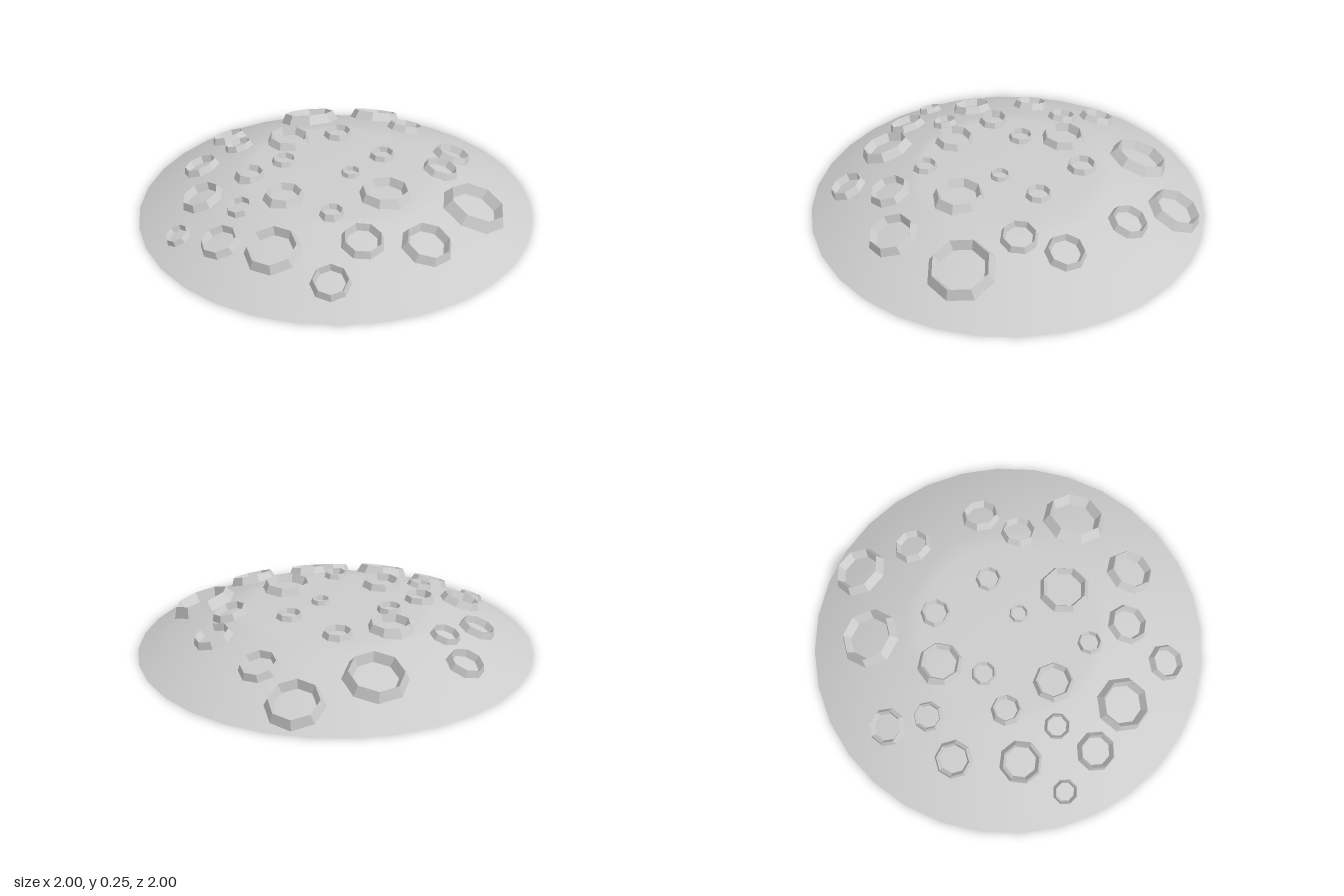
import * as THREE from 'three';
import { toCreasedNormals } from 'three/addons/utils/BufferGeometryUtils.js';

const BASE = 0.02, RISE = 0.25;
const SPHERE = (1 + RISE * RISE) / (2 * RISE);
const PLATE_Y = 0.228, PLATE_R = 0.47;

// height of the dome shell at a distance r from the axis
const domeY = (r) => BASE + Math.sqrt(SPHERE * SPHERE - r * r) - SPHERE + RISE;

// x, z, radius of each crater
const CRATERS = [
  [-0.25, -0.81, 0.145], [0.02, -0.68, 0.105], [0.38, -0.53, 0.105], [-0.49, -0.50, 0.16],
  [-0.19, -0.32, 0.08], [0.125, -0.245, 0.07], [0.43, -0.31, 0.098], [0.70, -0.16, 0.172],
  [-0.37, -0.12, 0.118], [0.085, -0.005, 0.052], [0.335, 0.08, 0.135], [-0.265, 0.075, 0.067],
  [-0.765, -0.12, 0.10], [-0.60, 0.01, 0.08], [-0.67, 0.24, 0.10], [-0.33, 0.28, 0.08],
  [-0.07, 0.36, 0.107], [0.205, 0.36, 0.065], [0.66, 0.25, 0.13], [0.42, 0.43, 0.11],
  [-0.465, 0.495, 0.112], [-0.22, 0.515, 0.07], [-0.42, 0.745, 0.067], [-0.175, 0.73, 0.104],
  [0.09, 0.68, 0.142], [0.415, 0.695, 0.10],
];

function createCrater(x, z, radius, i, material) {
  // sloping outer skirt, sharp rim, inner wall
  const rim = 0.012 + radius * 0.2;
  const profile = [
    new THREE.Vector2(radius, -0.012),
    new THREE.Vector2(radius * 0.82, rim),
    new THREE.Vector2(radius * 0.66, -0.008),
  ];
  const geometry = toCreasedNormals(new THREE.LatheGeometry(profile, 8), 0.6);
  const mesh = new THREE.Mesh(geometry, material);
  mesh.name = 'crater' + (i + 1);

  // seat on the plate or tilt to the dome's slope
  const r = Math.hypot(x, z);
  const normal = new THREE.Vector3(0, 1, 0);
  if (r > PLATE_R) normal.set(x, SPHERE - RISE + domeY(r) - BASE, z).normalize();
  mesh.position.set(x, r > PLATE_R ? domeY(r) : PLATE_Y, z);
  mesh.quaternion.setFromUnitVectors(new THREE.Vector3(0, 1, 0), normal);
  mesh.rotateY(Math.PI / 8 + i * 0.07);
  return mesh;
}

function createPlate(material) {
  // flat cap with a wavy edge that settles on the dome
  const radii = [0.50, 0.49, 0.48, 0.51, 0.53, 0.54, 0.54, 0.53, 0.52, 0.54,
    0.51, 0.51, 0.52, 0.51, 0.50, 0.53, 0.50, 0.49, 0.50, 0.51];
  const n = radii.length;
  const positions = [0, PLATE_Y, 0];
  const index = [];
  radii.forEach((edge, i) => {
    const a = (i / n) * Math.PI * 2;
    const next = (i + 1) % n;
    positions.push(Math.sin(a) * 0.44, PLATE_Y - 0.002, Math.cos(a) * 0.44);
    positions.push(Math.sin(a) * edge, domeY(edge) + 0.003, Math.cos(a) * edge);
    const [p, q] = [1 + i * 2, 1 + next * 2];
    index.push(0, p, q, p, p + 1, q + 1, p, q + 1, q);
  });
  const geometry = new THREE.BufferGeometry();
  geometry.setAttribute('position', new THREE.Float32BufferAttribute(positions, 3));
  geometry.setIndex(index);
  geometry.computeVertexNormals();
  const mesh = new THREE.Mesh(geometry, material);
  mesh.name = 'topPlate';
  return mesh;
}

export function createModel() {
  const material = new THREE.MeshStandardMaterial({ color: 0xcccccc, side: THREE.DoubleSide });
  const group = new THREE.Group();
  group.name = 'crateredDome';

  // open shell from the rim up to the hole under the plate
  const profile = [];
  for (let i = 0; i <= 8; i++) {
    const r = 1 - (i / 8) * (1 - 0.45);
    profile.push(new THREE.Vector2(r, domeY(r)));
  }
  const shell = new THREE.Mesh(new THREE.LatheGeometry(profile, 32), material);
  shell.name = 'domeShell';
  group.add(shell, createPlate(material));

  const craters = new THREE.Group();
  craters.name = 'craters';
  CRATERS.forEach(([x, z, radius], i) => craters.add(createCrater(x, z, radius, i, material)));
  group.add(craters);
  return group;
}
